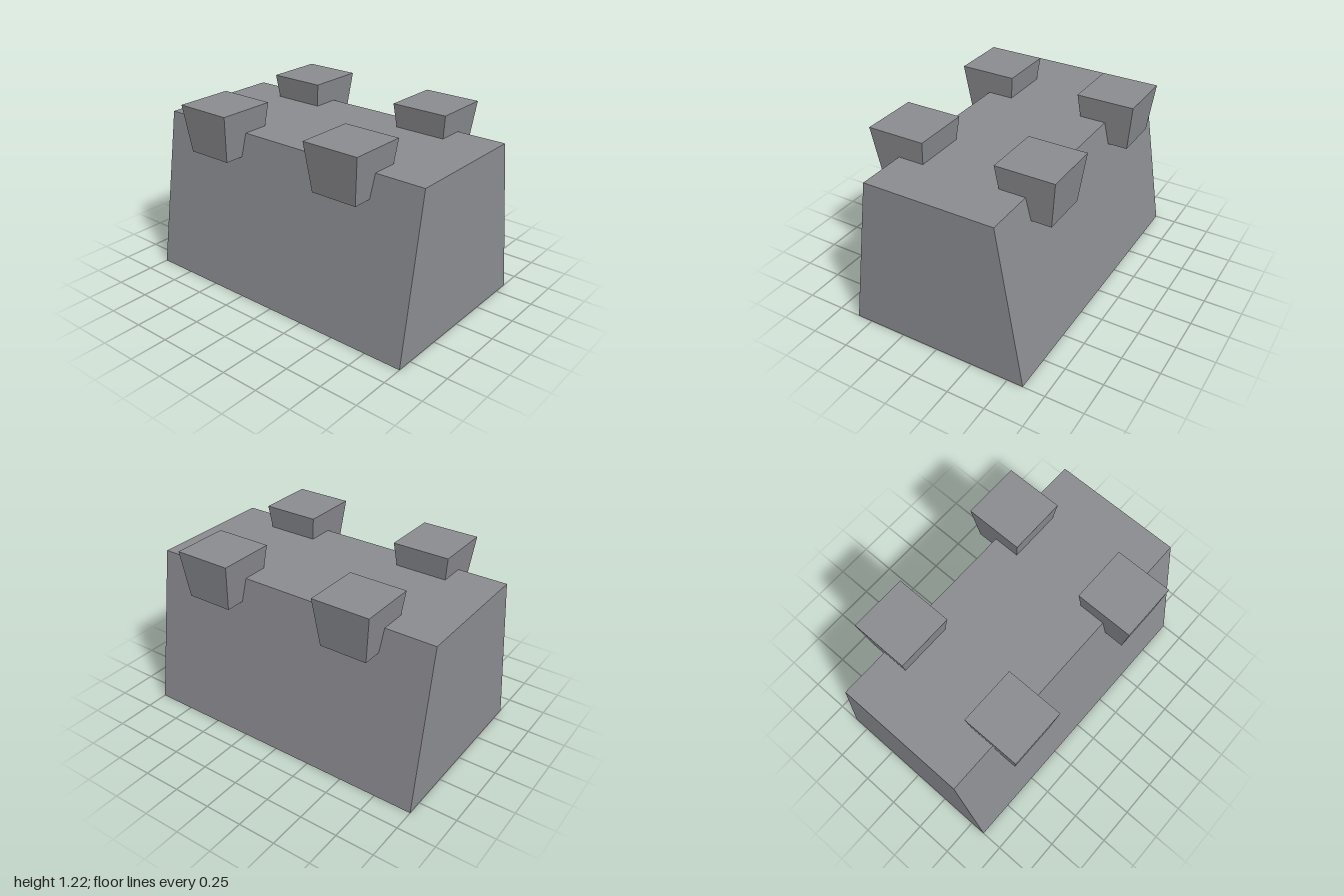
import * as THREE from 'three';

// Box standing from y0 to y1, with separate bottom and top sizes
function taperedBlock(name, material, y0, y1, bottom, top) {
  const geometry = new THREE.BoxGeometry(1, 1, 1).toNonIndexed();
  const p = geometry.attributes.position;
  for (let i = 0; i < p.count; i++) {
    const up = p.getY(i) > 0;
    const [w, d] = up ? top : bottom;
    p.setXYZ(i, p.getX(i) * w, up ? y1 : y0, p.getZ(i) * d);
  }
  geometry.computeVertexNormals();
  const mesh = new THREE.Mesh(geometry, material);
  mesh.name = name;
  return mesh;
}

export function createModel() {
  const stone = new THREE.MeshStandardMaterial({ color: 0x8b8c90 });
  stone.name = 'stone grey';

  const group = new THREE.Group();
  group.name = 'battlementWall';

  // Main wall, sloping in at front and back
  group.add(taperedBlock('wallBody', stone, 0, 1.06, [2, 1.21], [2, 0.86]));

  // Four merlons overhanging the top edges
  for (const x of [-1, 1]) {
    for (const z of [-1, 1]) {
      const name = (z > 0 ? 'front' : 'back') + (x > 0 ? 'Left' : 'Right') + 'Merlon';
      const merlon = taperedBlock(name, stone, 0.905, 1.215, [0.31, 0.31], [0.38, 0.38]);
      merlon.position.set(x * 0.5, 0, z * 0.43);
      group.add(merlon);
    }
  }
  return group;
}
